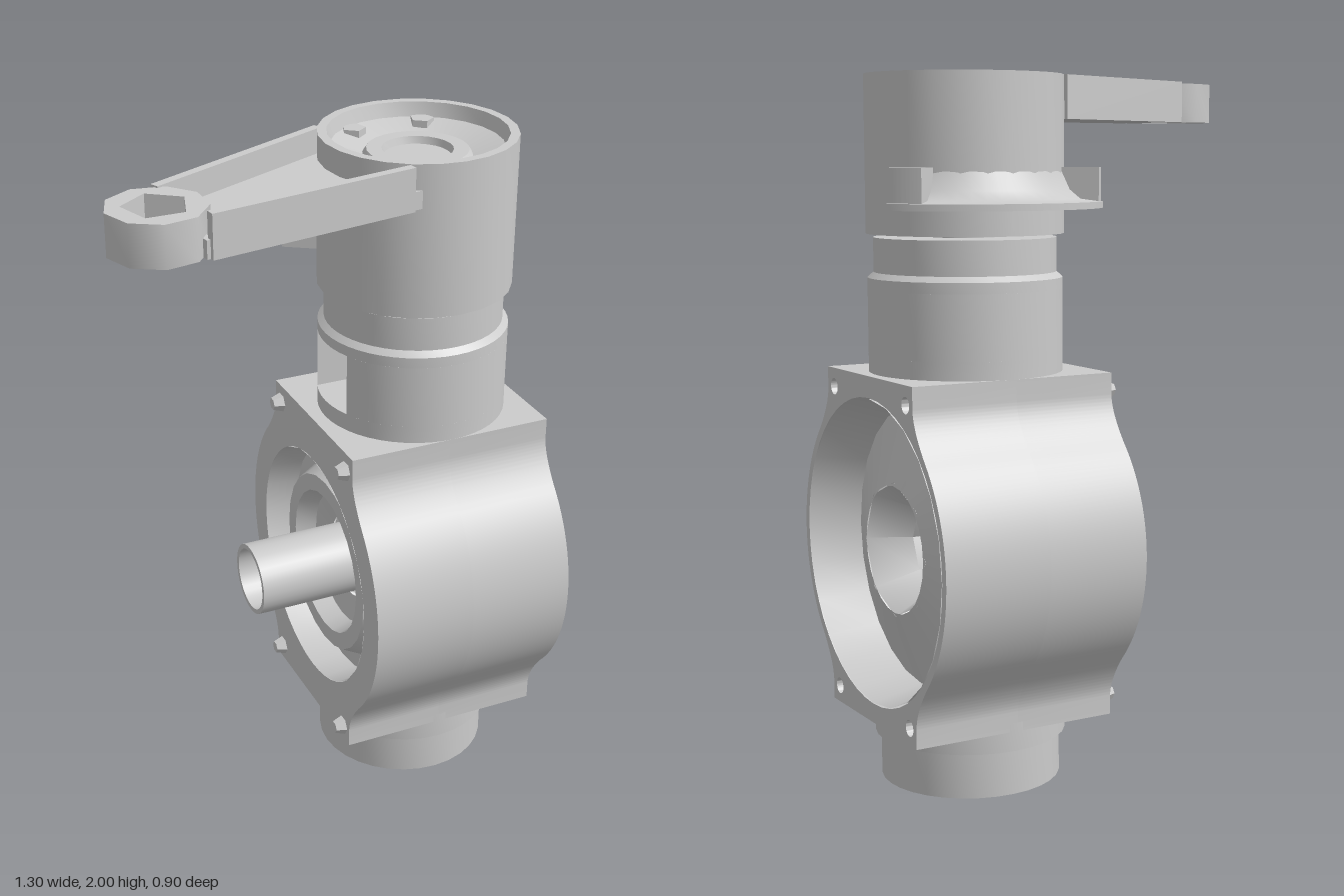
import * as THREE from 'three';
import { toCreasedNormals } from 'three/addons/utils/BufferGeometryUtils.js';

const grey = new THREE.MeshStandardMaterial({ color: 0xcccccc, side: THREE.DoubleSide });
const CX = 0.31; // x of the vertical swivel axis
const CY = 0.7;  // y of the horizontal axle axis
const rad = THREE.MathUtils.degToRad;

export function createModel() {
  const model = new THREE.Group();

  const add = (name, geometry, x = 0, y = 0, z = 0) => {
    const mesh = new THREE.Mesh(toCreasedNormals(geometry, 0.75), grey);
    mesh.name = name;
    mesh.position.set(x, y, z);
    model.add(mesh);
    return mesh;
  };
  const lathe = (points, sides = 32, ...arc) =>
    new THREE.LatheGeometry(points.map(p => new THREE.Vector2(...p)), sides, ...arc);
  const extrude = (shape, depth) =>
    new THREE.ExtrudeGeometry(shape, { depth, bevelEnabled: false, curveSegments: 24 });
  // Plan shapes are drawn as (x, -z) and raised upwards.
  const raise = (shape, depth) => extrude(shape, depth).rotateX(-Math.PI / 2);
  // Side shapes are drawn as (z, y) and extruded along x.
  const across = (shape, depth) => extrude(shape, depth).rotateY(Math.PI / 2);
  const circle = (r, x = 0, y = 0) => new THREE.Path().absarc(x, y, r, 0, Math.PI * 2, false);
  const polygon = (r, sides, turn = 0) => Array.from({ length: sides }, (_, i) => {
    const a = turn + i * Math.PI * 2 / sides;
    return new THREE.Vector2(r * Math.cos(a), r * Math.sin(a));
  });
  const sector = (r0, r1, a0, a1) => {
    const s = new THREE.Shape();
    s.absarc(0, 0, r1, rad(a0), rad(a1), false);
    s.absarc(0, 0, r0, rad(a1), rad(a0), true);
    s.closePath();
    return s;
  };

  // Housing outline: a drum with four square corners blended into it
  const housingShape = holeRadius => {
    const s = new THREE.Shape();
    const R = 0.452, a = rad(42);
    const cx = R * Math.cos(a), cy = R * Math.sin(a);
    s.absarc(0, 0, R, -a, a, false);
    s.quadraticCurveTo(0.272, 0.38, 0.27, 0.43);
    s.lineTo(0.27, 0.49);
    s.lineTo(-0.27, 0.49);
    s.lineTo(-0.27, 0.43);
    s.quadraticCurveTo(-0.272, 0.38, -cx, cy);
    s.absarc(0, 0, R, Math.PI - a, Math.PI + a, false);
    s.quadraticCurveTo(-0.272, -0.38, -0.27, -0.43);
    s.lineTo(-0.27, -0.485);
    s.lineTo(0.27, -0.485);
    s.lineTo(0.27, -0.43);
    s.quadraticCurveTo(0.272, -0.38, cx, -cy);
    s.holes.push(circle(holeRadius));
    for (const u of [-1, 1]) for (const v of [-1, 1])
      s.holes.push(circle(0.023, u * 0.228, v * 0.437));
    return s;
  };
  add('housingInner', across(housingShape(0.36), 0.3), 0, CY);
  add('housingOuter', across(housingShape(0.43), 0.31), 0.3, CY);

  // Recess on the wheel side with a coned floor, and the recess on the axle side
  add('wheelWell', lathe([
    [0.18, 0.54], [0.395, 0.46], [0.428, 0.61],
  ], 24).rotateZ(-Math.PI / 2), 0, CY);
  add('axleWell', lathe([
    [0.36, 0], [0.35, 0.1], [0.3, 0.1], [0.27, 0.04], [0.22, 0.04], [0.2, 0.1], [0.125, 0.12],
  ], 24).rotateZ(-Math.PI / 2), 0, CY);
  add('hubBore', lathe([
    [0.125, 0.12], [0.125, 0.42], [0.19, 0.538],
  ], 8).rotateZ(-Math.PI / 2), 0, CY);
  add('axleTube', lathe([
    [0.092, -0.2], [0.106, -0.2], [0.106, 0.4], [0.092, 0.4], [0.092, -0.2],
  ]).rotateZ(-Math.PI / 2), 0, CY);
  add('axleTubeWeb', new THREE.RingGeometry(0.1, 0.125, 24, 1, 0, Math.PI)
    .rotateY(Math.PI / 2), 0.3, CY);

  // Small bolts at the housing corners
  for (const z of [-0.228, 0.228]) for (const y of [CY - 0.437, CY + 0.437])
    add('cornerBolt', new THREE.CylinderGeometry(0.018, 0.032, 0.04, 6).rotateZ(Math.PI / 2), -0.01, y, z);

  // Lower bearing cup
  add('lowerCup', lathe([
    [0, 0.12], [0.09, 0.12], [0.1, 0.005], [0.14, 0], [0.165, 0.03], [0.255, 0.03],
    [0.255, 0.16], [0.272, 0.16], [0.272, 0.24],
  ]), CX - 0.005);

  // Neck with a pocket cut into the axle side
  const neckRadius = 0.27;
  const neckShape = new THREE.Shape();
  const pocket = Math.asin(0.1 / neckRadius);
  neckShape.absarc(0, 0, neckRadius, -Math.PI + pocket, Math.PI - pocket, false);
  neckShape.lineTo(-0.12, 0.1);
  neckShape.lineTo(-0.12, -0.1);
  neckShape.closePath();
  add('neckMiddle', raise(neckShape, 0.18), CX, 1.24);
  add('neckBottom', new THREE.CylinderGeometry(neckRadius, neckRadius, 0.09, 48), CX, 1.195);
  add('neckTop', lathe([
    [0, 1.42], [neckRadius, 1.42], [neckRadius, 1.45], [0.253, 1.465], [0.253, 1.56], [0, 1.56],
  ], 48), CX);
  add('swivelPin', new THREE.CylinderGeometry(0.1, 0.1, 0.06, 16), CX, 1.565);

  // Upper cap with a shallow dished top
  add('cap', lathe([
    [0, 1.57], [0.274, 1.57], [0.274, 2], [0.248, 2], [0.238, 1.96],
    [0.15, 1.935], [0.14, 1.95], [0.098, 1.95], [0.092, 1.93], [0, 1.93],
  ], 24), CX);
  for (const x of [-0.105, 0.105]) for (const z of [-0.185, 0.185])
    add('capStud', new THREE.CylinderGeometry(0.035, 0.035, 0.06, 5), CX + x, 1.935, z);

  // Curved stop bracket behind the cap, filleted into its wall
  add('bracketLedge', raise(sector(0.265, 0.382, 30, 144), 0.018), CX, 1.64);
  add('bracketFillet', lathe([
    [0.38, 1.658], [0.325, 1.665], [0.295, 1.69], [0.272, 1.74],
  ], 16, rad(120), rad(114)), CX);
  add('bracketStopLeft', raise(sector(0.265, 0.372, 24, 45), 0.11), CX, 1.64);
  add('bracketStopRight', raise(sector(0.265, 0.375, 138, 147), 0.11), CX, 1.64);

  // Steering arm: channel floor, two side walls and an eye at the end
  const floor = new THREE.Shape();
  floor.moveTo(-0.43, -0.345);
  floor.lineTo(0.2, -0.25);
  floor.absarc(CX, 0, 0.26, rad(246), rad(144), true);
  floor.lineTo(-0.47, -0.12);
  floor.closePath();
  add('armFloor', raise(floor, 0.05), 0, 1.88);
  const wall = (x0, z0, x1, z1) => {
    const length = Math.hypot(x1 - x0, z1 - z0);
    add('armWall', new THREE.BoxGeometry(length, 0.12, 0.025), (x0 + x1) / 2, 1.94, (z0 + z1) / 2)
      .rotation.y = -Math.atan2(z1 - z0, x1 - x0);
  };
  wall(-0.48, 0.115, 0.075, -0.138);
  wall(-0.42, 0.343, 0.17, 0.252);
  const eye = new THREE.Shape(polygon(0.132, 9, 0.35));
  eye.holes.push(new THREE.Path(polygon(0.088, 5, Math.PI / 2)));
  add('armEye', raise(eye, 0.115), -0.518, 1.88, 0.235);

  return model;
}
